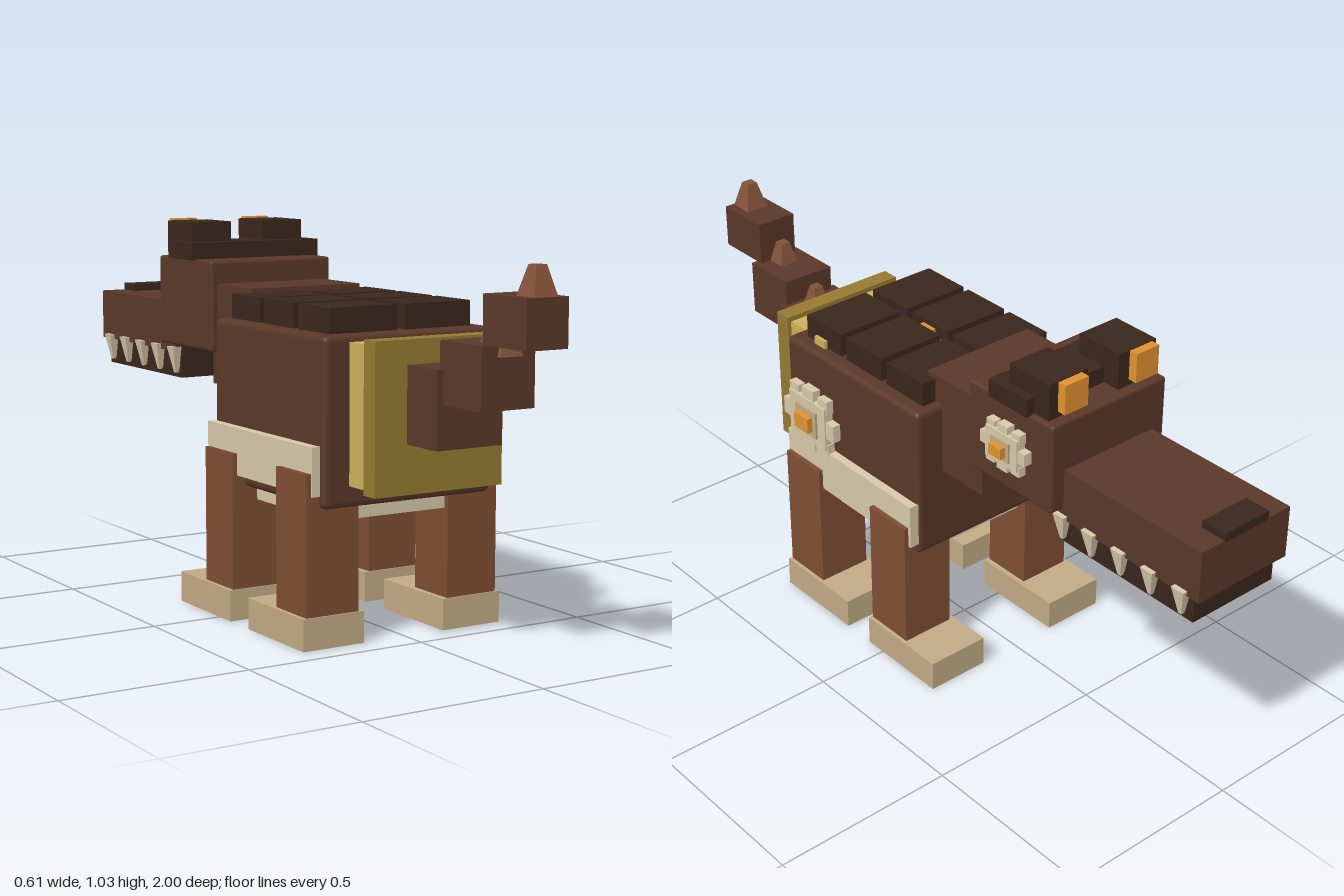
import * as THREE from 'three';
import { RoundedBoxGeometry } from 'three/addons/geometries/RoundedBoxGeometry.js';

const mat = (color) => new THREE.MeshStandardMaterial({ color, flatShading: true });
const hide = mat(0x5a3829), dark = mat(0x3a261c), limb = mat(0x7e4e33), foot = mat(0xc2aa85);
const bone = mat(0xd6c8aa), gold = mat(0xcdb05a), oldGold = mat(0x957a32), amber = mat(0xe0922f);
const spikeMat = mat(0x85543a);

// Box given by its limits on each axis, with an optional rounded edge
function box(parent, name, material, [x0, x1], [y0, y1], [z0, z1], radius = 0) {
  const s = [x1 - x0, y1 - y0, z1 - z0];
  const geo = radius ? new RoundedBoxGeometry(...s, 2, radius) : new THREE.BoxGeometry(...s);
  const mesh = new THREE.Mesh(geo, material);
  mesh.position.set((x0 + x1) / 2, (y0 + y1) / 2, (z0 + z1) / 2);
  mesh.name = name;
  parent.add(mesh);
  return mesh;
}

// Same box on both sides
function pair(parent, name, material, [x0, x1], y, z) {
  box(parent, name + 'Left', material, [x0, x1], y, z);
  box(parent, name + 'Right', material, [-x1, -x0], y, z);
}

// Four-sided tapered spike standing on y
function spike(parent, name, material, x, y, z, base, tip, height) {
  const geo = new THREE.CylinderGeometry(tip * Math.SQRT1_2, base * Math.SQRT1_2, Math.abs(height), 4);
  geo.rotateY(Math.PI / 4);
  if (height < 0) geo.rotateX(Math.PI);
  const mesh = new THREE.Mesh(geo, material);
  mesh.position.set(x, y + height / 2, z);
  mesh.name = name;
  parent.add(mesh);
}

// Blocky cog facing +z, with an amber stone in its middle
function cog(name) {
  const g = new THREE.Group();
  g.name = name;
  box(g, 'cogBody', bone, [-0.078, 0.078], [-0.065, 0.065], [0, 0.028]);
  box(g, 'cogBarAcross', bone, [-0.11, 0.11], [-0.025, 0.025], [0, 0.024]);
  box(g, 'cogBarUpright', bone, [-0.025, 0.025], [-0.095, 0.095], [0, 0.024]);
  for (const sx of [-1, 1]) for (const sy of [-1, 1]) {
    const tooth = box(g, 'cogTooth', bone, [-0.02, 0.02], [-0.02, 0.02], [0, 0.022]);
    tooth.position.x = sx * 0.062;
    tooth.position.y = sy * 0.067;
  }
  box(g, 'cogHub', foot, [-0.045, 0.045], [-0.04, 0.04], [0, 0.034]);
  box(g, 'cogStone', amber, [-0.03, 0.03], [-0.022, 0.022], [0.01, 0.05]);
  return g;
}

export function createModel() {
  const root = new THREE.Group();
  root.name = 'blockyCrocodile';
  const model = new THREE.Group();
  model.name = 'body';
  model.position.x = -0.005;
  root.add(model);

  // Trunk, belly and flank strips
  box(model, 'trunk', hide, [-0.252, 0.252], [0.355, 0.785], [-0.105, 0.45], 0.015);
  box(model, 'belly', bone, [-0.215, 0.215], [0.318, 0.37], [-0.06, 0.41]);
  pair(model, 'flankStrip', bone, [0.24, 0.276], [0.387, 0.512], [-0.1, 0.43]);

  // Rump plates
  box(model, 'rumpPlateInner', gold, [-0.18, 0.18], [0.41, 0.768], [0.44, 0.53]);
  box(model, 'rumpPlateOuter', oldGold, [-0.19, 0.19], [0.4, 0.782], [0.53, 0.58]);

  // Back armour in three rows
  for (let i = 0; i < 3; i++) {
    const z = -0.08 + i * 0.17;
    pair(model, 'backPlate', dark, [0.013, 0.212], [0.78, 0.85], [z, z + 0.148]);
  }

  // Legs and feet
  for (const z of [-0.018, 0.352]) {
    pair(model, 'leg', limb, [0.136, 0.289], [0.08, 0.445], [z - 0.073, z + 0.073]);
    pair(model, 'foot', foot, [0.121, 0.3], [0, 0.083], [z - 0.198, z + 0.077]);
  }

  // Tail stepping upward, each step with a spike
  const tail = new THREE.Group();
  tail.name = 'tail';
  model.add(tail);
  box(tail, 'tailBase', hide, [-0.097, 0.097], [0.525, 0.72], [0.57, 0.705]);
  box(tail, 'tailMiddle', hide, [-0.078, 0.078], [0.635, 0.79], [0.69, 0.855]);
  box(tail, 'tailTip', hide, [-0.06, 0.06], [0.79, 0.91], [0.835, 1]);
  spike(tail, 'tailSpike', spikeMat, 0, 0.72, 0.655, 0.05, 0.025, 0.05);
  spike(tail, 'tailSpike', spikeMat, 0, 0.79, 0.808, 0.055, 0.027, 0.06);
  spike(tail, 'tailSpike', spikeMat, 0, 0.91, 0.96, 0.068, 0.03, 0.073);
  spike(tail, 'tailSpikeLow', spikeMat, 0, 0.762, 0.837, 0.065, 0.052, 0.026);

  // Neck and head
  box(model, 'neck', hide, [-0.17, 0.17], [0.588, 0.863], [-0.262, -0.05]);
  const head = new THREE.Group();
  head.name = 'head';
  model.add(head);
  box(head, 'skull', hide, [-0.19, 0.19], [0.677, 0.925], [-0.54, -0.235], 0.008);
  box(head, 'brow', dark, [-0.203, 0.203], [0.922, 0.97], [-0.46, -0.322]);
  pair(head, 'eyeSocket', dark, [0.052, 0.177], [0.922, 1.024], [-0.51, -0.37]);
  pair(head, 'eye', amber, [0.08, 0.155], [0.948, 1.028], [-0.543, -0.518]);
  box(head, 'snout', hide, [-0.148, 0.148], [0.648, 0.79], [-1, -0.52]);
  box(head, 'lowerJaw', dark, [-0.135, 0.135], [0.573, 0.67], [-0.975, -0.515]);
  box(head, 'nose', dark, [-0.074, 0.074], [0.785, 0.81], [-1, -0.928]);
  for (const x of [-0.142, 0.142]) for (let i = 0; i < 5; i++) {
    spike(head, 'tooth', bone, x, 0.662, -0.535 - i * 0.102, 0.04, 0.01, -0.075);
  }

  // Cogs on the left flank, left cheek and back
  const flankCog = cog('flankCog');
  flankCog.rotation.y = Math.PI / 2;
  flankCog.position.set(0.256, 0.586, 0.328);
  const cheekCog = cog('cheekCog');
  cheekCog.rotation.y = Math.PI / 2;
  cheekCog.scale.set(0.74, 0.68, 1);
  cheekCog.position.set(0.19, 0.807, -0.386);
  const backCog = cog('backCog');
  backCog.rotation.x = -Math.PI / 2;
  backCog.scale.setScalar(1.1);
  backCog.position.set(0, 0.784, 0.165);
  model.add(flankCog, cheekCog, backCog);
  box(model, 'backStud', gold, [0.19, 0.222], [0.78, 0.807], [0.32, 0.365]);
  return root;
}
